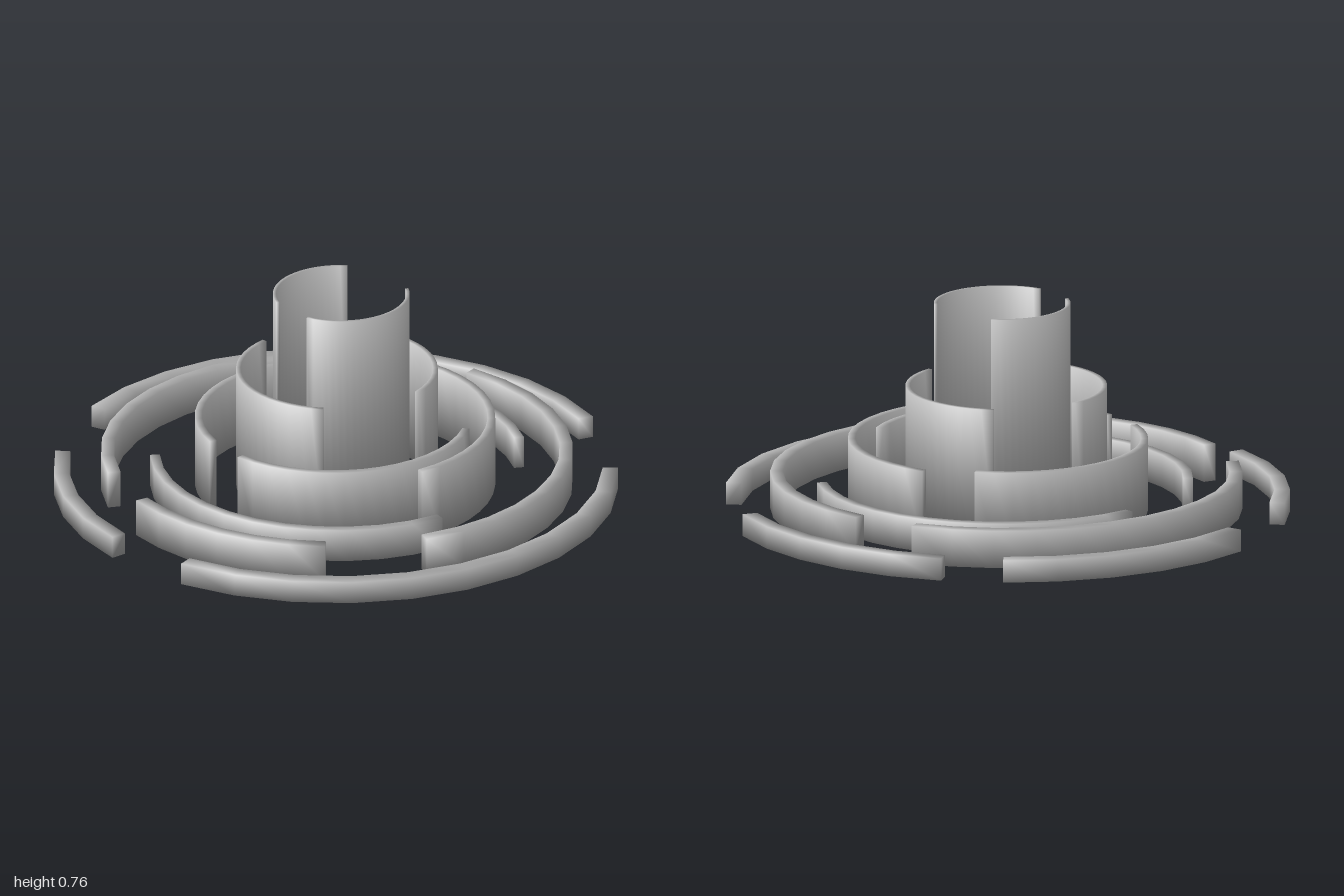
import * as THREE from 'three';

const grey = new THREE.MeshStandardMaterial({ color: 0xb8b8b8 });
grey.name = 'grey';

// Arc-shaped wall: a rectangular section swept around y. Every corner normal points
// diagonally outwards, so the shading rolls softly over all edges and both ends.
function arcWall({ inner, outer, bottom, top, step }, from, to) {
  const section = [[outer, bottom, 1, -1], [outer, top, 1, 1], [inner, top, -1, 1], [inner, bottom, -1, -1]];
  const steps = Math.max(2, Math.round((to - from) / step));
  const pos = [], normals = [], index = [];
  const normal = new THREE.Vector3();
  for (let i = 0; i <= steps; i++) {
    const a = THREE.MathUtils.degToRad(from + (to - from) * i / steps);
    const c = Math.cos(a), s = Math.sin(a);
    const along = i === 0 ? -1 : i === steps ? 1 : 0;
    for (const [r, y, side, up] of section) {
      pos.push(r * c, y, r * s);
      normal.set(side * c - along * s, up, side * s + along * c).normalize();
      normals.push(normal.x, normal.y, normal.z);
    }
  }
  for (let i = 0; i < steps; i++) {
    for (let j = 0; j < 4; j++) {
      const p = i * 4 + j, q = i * 4 + (j + 1) % 4;
      index.push(p, q, q + 4, p, q + 4, p + 4);
    }
  }
  // End caps
  const e = steps * 4;
  index.push(0, 2, 1, 0, 3, 2, e, e + 1, e + 2, e, e + 2, e + 3);
  const geo = new THREE.BufferGeometry();
  geo.setAttribute('position', new THREE.Float32BufferAttribute(pos, 3));
  geo.setAttribute('normal', new THREE.Float32BufferAttribute(normals, 3));
  geo.setIndex(index);
  return geo;
}

// Rings from the outside in; arcs are [from, to] degrees, turning from +x towards +z
const rings = [
  { name: 'outerRing', inner: 0.945, outer: 1, bottom: 0, top: 0.08, step: 12, centre: [0, 0],
    arcs: [[-6, 116], [135, 180], [203, 259.6], [272.3, 328.3]] },
  { name: 'secondRing', inner: 0.79, outer: 0.836, bottom: 0.01, top: 0.145, step: 10, centre: [0.004, 0],
    arcs: [[158.5, 282.4], [-61.7, 60.5], [85.6, 141]] },
  { name: 'thirdRing', inner: 0.633, outer: 0.668, bottom: 0.01, top: 0.128, step: 10, centre: [0.01, -0.006],
    arcs: [[216, 341.5], [49.5, 171]] },
  { name: 'fourthRing', inner: 0.538, outer: 0.565, bottom: 0.01, top: 0.27, step: 8, centre: [0, 0],
    arcs: [[-69, 50]] },
  { name: 'fifthRing', inner: 0.467, outer: 0.493, bottom: 0.01, top: 0.27, step: 8, centre: [-0.007, -0.008],
    arcs: [[145.8, 273], [6.3, 126.6]] },
  { name: 'sixthRing', inner: 0.34, outer: 0.357, bottom: 0.01, top: 0.46, step: 7, centre: [0.005, 0.005],
    arcs: [[-94, 28.3], [90.8, 215.6]] },
  { name: 'centreRing', inner: 0.23, outer: 0.242, bottom: 0.01, top: 0.757, step: 6, centre: [0.022, 0.016],
    arcs: [[153.7, 268], [-17.7, 113.3]] },
];

export function createModel() {
  const model = new THREE.Group();
  model.name = 'brokenRings';
  for (const ring of rings) {
    const group = new THREE.Group();
    group.name = ring.name;
    group.position.set(ring.centre[0], 0, ring.centre[1]);
    ring.arcs.forEach(([from, to], i) => {
      const mesh = new THREE.Mesh(arcWall(ring, from, to), grey);
      mesh.name = `${ring.name}Arc${i + 1}`;
      group.add(mesh);
    });
    model.add(group);
  }
  return model;
}
